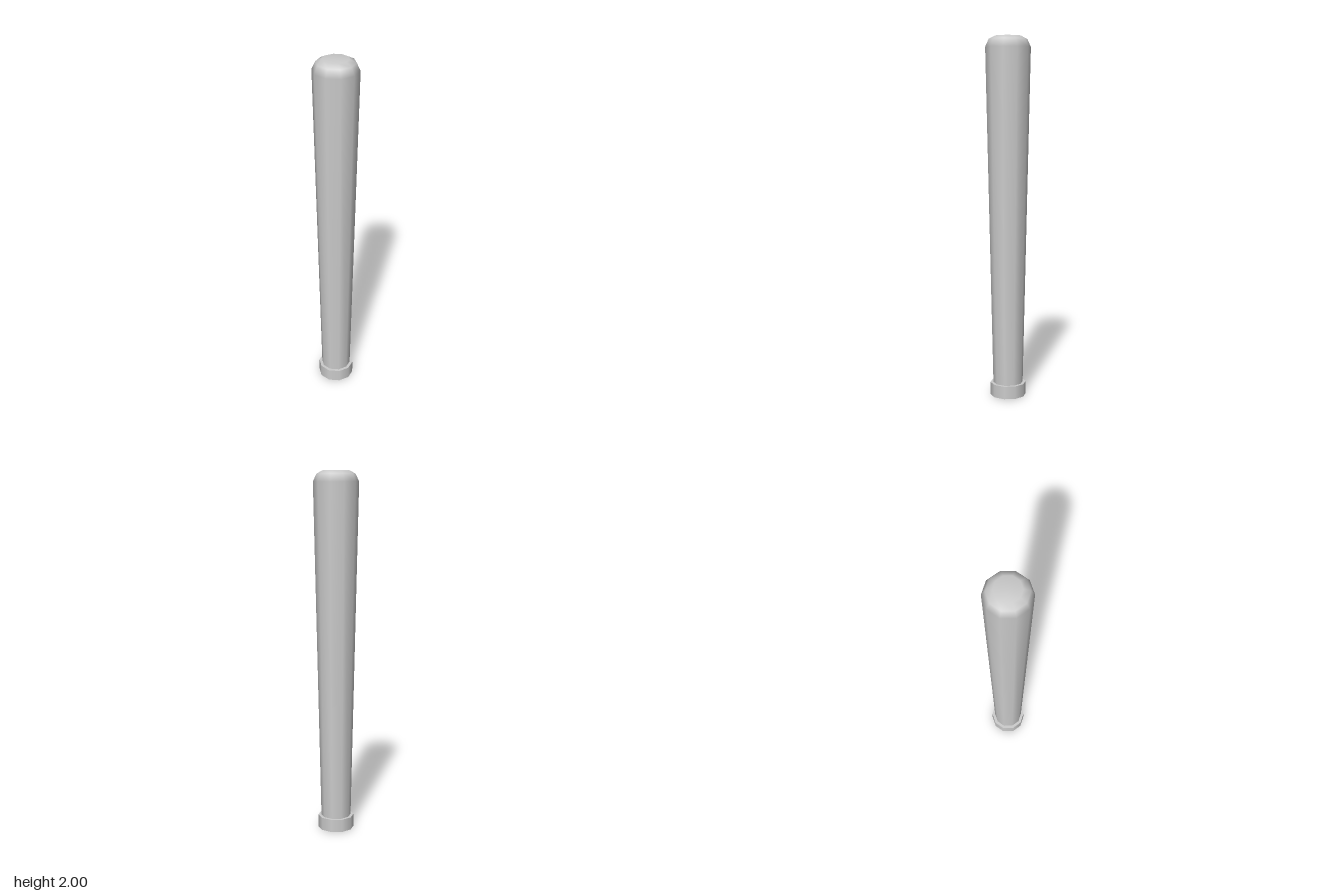
import * as THREE from 'three';

const SIDES = 10;

export function createModel() {
  const group = new THREE.Group();
  group.name = 'bat';
  const material = new THREE.MeshStandardMaterial({ color: 0xcccccc });

  // Tapered barrel and handle with a rounded tip, corners on the x axis
  const profile = [
    [0.083, 0.06], [0.124, 1.94], [0.105, 1.982], [0.07, 2], [0, 2],
  ].map(([r, y]) => new THREE.Vector2(r, y));
  const barrel = new THREE.Mesh(new THREE.LatheGeometry(profile, SIDES, Math.PI / 2), material);
  barrel.name = 'barrel';
  group.add(barrel);

  // Flat-ended knob below the handle
  const knobGeometry = new THREE.CylinderGeometry(0.1, 0.1, 0.072, SIDES, 1, false, Math.PI / 2);
  const knob = new THREE.Mesh(knobGeometry, material);
  knob.name = 'knob';
  knob.position.y = 0.036;
  group.add(knob);

  return group;
}
